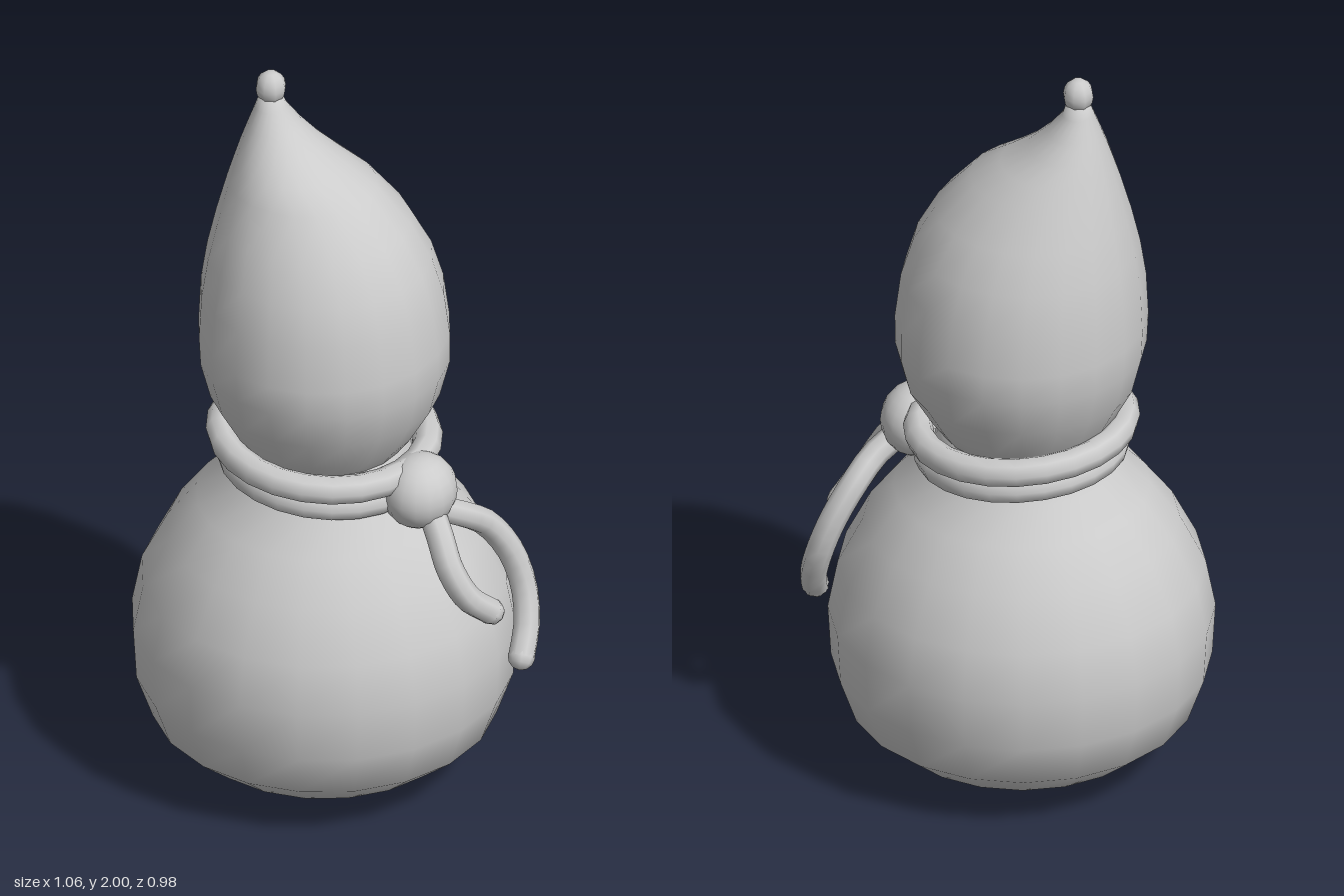
import * as THREE from 'three';

const material = new THREE.MeshStandardMaterial({ color: 0xcccccc });
const v = (x, y, z) => new THREE.Vector3(x, y, z);

function addMesh(parent, name, geometry) {
  const mesh = new THREE.Mesh(geometry, material);
  mesh.name = name;
  parent.add(mesh);
  return mesh;
}

// Smooth loft through elliptical rings given as [y, centreX, radiusX, radiusZ]
function loft(rings, sides = 20) {
  const pos = [], index = [];
  for (const [y, cx, rx, rz] of rings) {
    for (let j = 0; j < sides; j++) {
      const a = (j / sides) * Math.PI * 2;
      pos.push(cx + rx * Math.cos(a), y, rz * Math.sin(a));
    }
  }
  for (let i = 0; i < rings.length - 1; i++) {
    for (let j = 0; j < sides; j++) {
      const k = (j + 1) % sides;
      const a = i * sides + j, b = i * sides + k;
      index.push(a, a + sides, b, b, a + sides, b + sides);
    }
  }
  // Close both ends with a centre point
  const last = (rings.length - 1) * sides;
  const bottom = pos.length / 3, top = bottom + 1;
  pos.push(rings[0][1], rings[0][0], 0);
  pos.push(rings.at(-1)[1], rings.at(-1)[0], 0);
  for (let j = 0; j < sides; j++) {
    const k = (j + 1) % sides;
    index.push(bottom, j, k, top, last + k, last + j);
  }
  const g = new THREE.BufferGeometry();
  g.setAttribute('position', new THREE.Float32BufferAttribute(pos, 3));
  g.setIndex(index);
  g.computeVertexNormals();
  return g;
}

// Tilted cord loop around the neck, lower on the knot side
function cordLoop(radiusX, radiusZ, y, tilt, thickness) {
  const points = [];
  for (let i = 0; i < 16; i++) {
    const a = (i / 16) * Math.PI * 2;
    points.push(v(-0.04 + radiusX * Math.cos(a), y - tilt * Math.cos(a), radiusZ * Math.sin(a)));
  }
  return new THREE.TubeGeometry(new THREE.CatmullRomCurve3(points, true), 24, thickness, 8, true);
}

// Hanging cord end with a rounded tip
function cordTail(name, points, thickness) {
  const tail = new THREE.Group();
  tail.name = name;
  const curve = new THREE.CatmullRomCurve3(points);
  addMesh(tail, name + 'Cord', new THREE.TubeGeometry(curve, 14, thickness, 8));
  const tip = addMesh(tail, name + 'Tip', new THREE.SphereGeometry(thickness, 8, 6));
  tip.position.copy(points.at(-1));
  tip.quaternion.setFromUnitVectors(v(0, 1, 0), curve.getTangent(1));
  return tail;
}

export function createModel() {
  const model = new THREE.Group();
  model.name = 'gourd';

  // Wide lower bulb, running up into the neck
  const lower = [
    [0.005, 0.07], [0.03, 0.19], [0.08, 0.345], [0.16, 0.44], [0.28, 0.482], [0.42, 0.49],
    [0.55, 0.465], [0.68, 0.4], [0.78, 0.325], [0.86, 0.25], [0.94, 0.21], [1.0, 0.2],
  ];
  addMesh(model, 'lowerBulb', loft(lower.map(([y, r]) => [y, -0.04, r, r])));

  // Upper bulb leaning towards the stem
  addMesh(model, 'upperBulb', loft([
    [0.92, -0.04, 0.18, 0.18], [1.0, -0.04, 0.238, 0.235], [1.1, -0.038, 0.293, 0.295],
    [1.2, -0.038, 0.318, 0.322], [1.28, -0.04, 0.32, 0.325], [1.4, -0.045, 0.31, 0.31],
    [1.5, -0.053, 0.288, 0.283], [1.6, -0.07, 0.25, 0.238], [1.7, -0.102, 0.193, 0.178],
    [1.75, -0.135, 0.145, 0.143], [1.8, -0.162, 0.103, 0.107], [1.85, -0.179, 0.069, 0.074],
    [1.9, -0.19, 0.04, 0.045], [1.93, -0.19, 0.03, 0.03],
  ]));

  // Stem knob
  const stem = addMesh(model, 'stemKnob', new THREE.SphereGeometry(0.04, 8, 8));
  stem.scale.y = 1.15;
  stem.position.set(-0.19, 1.954, 0);

  // Cord wound twice around the neck
  addMesh(model, 'upperCordLoop', cordLoop(0.262, 0.265, 0.965, 0.02, 0.038));
  addMesh(model, 'lowerCordLoop', cordLoop(0.24, 0.235, 0.9, 0.02, 0.038));

  // Knot and the two hanging ends
  const knot = addMesh(model, 'knot', new THREE.SphereGeometry(0.102, 16, 12));
  knot.scale.set(0.92, 0.95, 1.03);
  knot.position.set(0.25, 0.895, 0.045);

  model.add(cordTail('shortTail', [
    v(0.29, 0.85, 0.06), v(0.335, 0.805, 0.1), v(0.375, 0.74, 0.128),
    v(0.42, 0.66, 0.117), v(0.46, 0.6, 0.065),
  ], 0.035));
  model.add(cordTail('longTail', [
    v(0.29, 0.85, 0.04), v(0.34, 0.81, -0.02), v(0.375, 0.755, -0.085),
    v(0.42, 0.66, -0.13), v(0.455, 0.56, -0.135), v(0.48, 0.475, -0.1), v(0.492, 0.41, -0.045),
  ], 0.035));

  return model;
}
